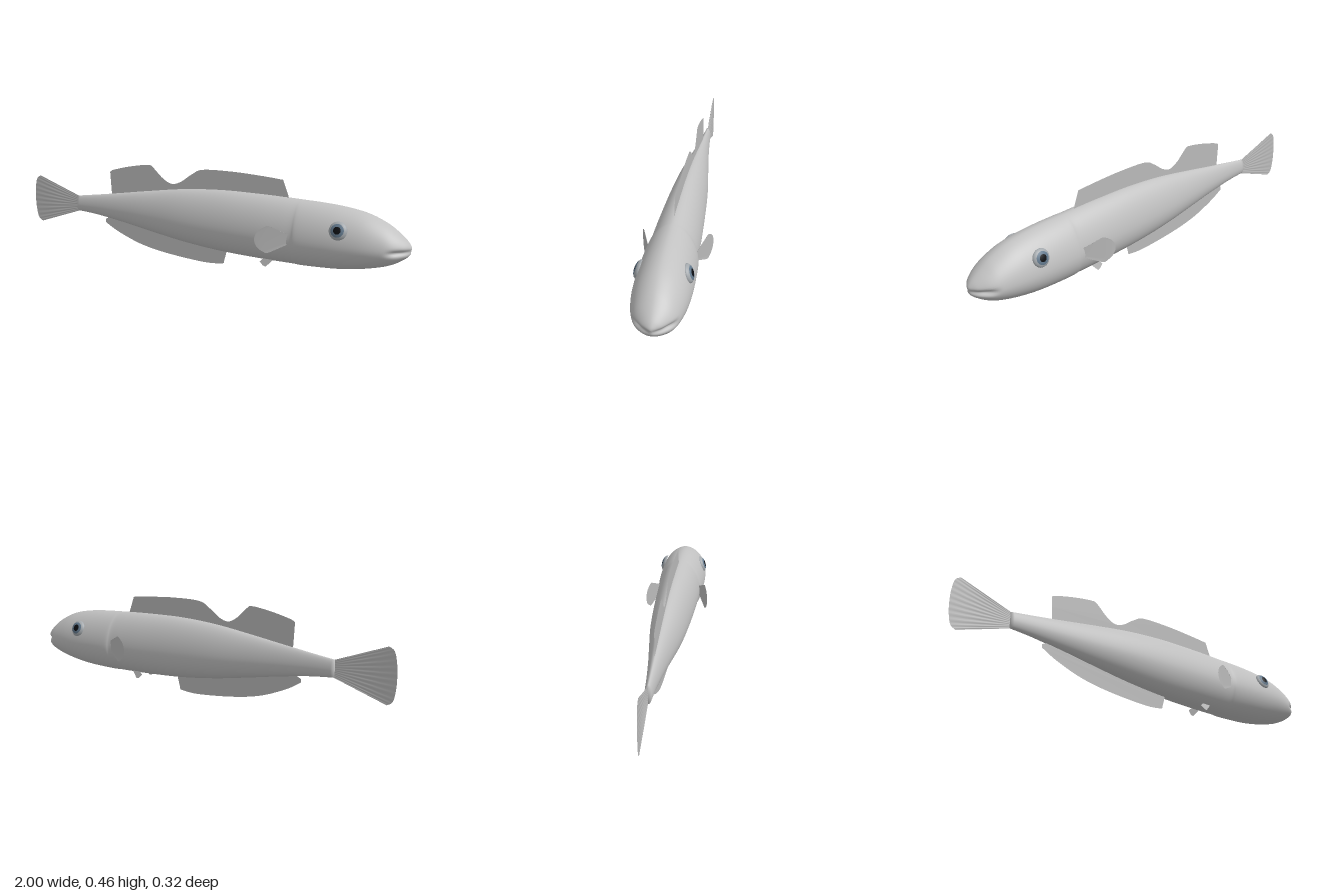
import * as THREE from 'three';

const mat = (name, color, side = THREE.FrontSide) => {
  const m = new THREE.MeshStandardMaterial({ color, side });
  m.name = name;
  return m;
};

// Body stations along the length: x, top, bottom, half width
const STATIONS = [
  [-0.72, 0.255, 0.177, 0.016], [-0.6, 0.273, 0.168, 0.024], [-0.45, 0.297, 0.148, 0.038],
  [-0.3, 0.322, 0.124, 0.055], [-0.1, 0.352, 0.094, 0.078], [0.1, 0.368, 0.075, 0.092],
  [0.3, 0.37, 0.068, 0.102], [0.42, 0.368, 0.067, 0.106], [0.48, 0.366, 0.067, 0.108],
  [0.51, 0.365, 0.066, 0.115], [0.6, 0.362, 0.069, 0.119], [0.7, 0.354, 0.076, 0.12],
  [0.8, 0.336, 0.092, 0.115], [0.88, 0.304, 0.112, 0.101], [0.93, 0.272, 0.132, 0.083],
  [0.97, 0.24, 0.157, 0.051], [0.99, 0.218, 0.176, 0.024], [1, 0.2, 0.19, 0.006],
];

function bodyGeometry() {
  const [top, bottom, width] = [1, 2, 3].map(
    (k) => new THREE.SplineCurve(STATIONS.map((s) => new THREE.Vector2(s[0], s[k]))));
  const rings = 102, sides = 64, pos = [], index = [];
  for (let i = -1; i <= rings + 1; i++) {
    const t = THREE.MathUtils.clamp(i / rings, 0, 1);
    const size = i < 0 || i > rings ? 0 : 1; // collapsed rings close both ends
    const p = top.getPoint(t), lo = bottom.getPoint(t).y, w = width.getPoint(t).y * size;
    const mid = lo + 0.43 * (p.y - lo);
    for (let j = 0; j < sides; j++) {
      const a = (j / sides) * Math.PI * 2, c = Math.cos(a), s = Math.sin(a);
      // egg section: narrower towards the back
      const e = s > 0 ? 1.1 : 1;
      const y = mid + Math.sign(s) * Math.abs(s) ** e * (s > 0 ? p.y - mid : mid - lo) * size;
      let z = Math.sign(c) * Math.abs(c) ** e * w;
      // mouth crease
      const crease = Math.exp(-(((y - 0.193) / 0.011) ** 2)) * THREE.MathUtils.smoothstep(p.x, 0.89, 0.96);
      z *= 1 - 0.2 * crease;
      pos.push(p.x - 0.008 * crease, y, z);
    }
  }
  for (let i = 0; i < rings + 2; i++) {
    for (let j = 0; j < sides; j++) {
      const k = (j + 1) % sides, a = i * sides, b = a + sides;
      index.push(a + j, b + j, b + k, a + j, b + k, a + k);
    }
  }
  const g = new THREE.BufferGeometry();
  g.setAttribute('position', new THREE.Float32BufferAttribute(pos, 3));
  g.setIndex(index);
  g.computeVertexNormals();
  return g;
}

// Flat fin from straight root points and a list of outline runs, each smoothed
function finGeometry(start, ...runs) {
  const shape = new THREE.Shape().moveTo(...start);
  for (const run of runs) shape.splineThru(run.map((p) => new THREE.Vector2(...p)));
  return new THREE.ShapeGeometry(shape, 6);
}

// Fan of softly ridged rays
function tailGeometry() {
  const edge = new THREE.SplineCurve([
    [-0.96, 0.338], [-0.985, 0.32], [-0.997, 0.27], [-1, 0.215], [-0.997, 0.16], [-0.985, 0.11], [-0.96, 0.092],
  ].map((p) => new THREE.Vector2(...p)));
  const cols = 48, rows = 4, g = new THREE.PlaneGeometry(1, 1, cols, rows), pos = g.attributes.position;
  for (let r = 0; r <= rows; r++) {
    for (let c = 0; c <= cols; c++) {
      const u = c / cols, v = r / rows, e = edge.getPoint(u);
      const ridge = 0.0012 * Math.sin(u * Math.PI * 24) * Math.sin(v * Math.PI);
      pos.setXYZ(r * (cols + 1) + c, THREE.MathUtils.lerp(-0.705, e.x, v),
        THREE.MathUtils.lerp(0.25 - 0.07 * u, e.y, v), ridge);
    }
  }
  g.computeVertexNormals();
  return g;
}

export function createModel() {
  const fish = new THREE.Group();
  fish.name = 'fish';
  const skin = mat('skin', 0xc2c2c2);
  const finMat = mat('fin', 0xbababa, THREE.DoubleSide);
  const rim = mat('eyeRim', 0xa4a9ad);
  const iris = mat('iris', 0x62788c);
  const pupil = mat('pupil', 0x0c0e12);
  const add = (parent, name, geometry, material) => {
    const m = new THREE.Mesh(geometry, material);
    m.name = name;
    parent.add(m);
    return m;
  };

  add(fish, 'body', bodyGeometry(), skin);
  add(fish, 'tailFin', tailGeometry(), finMat);

  // Fins on the centre line
  add(fish, 'dorsalFin', finGeometry([0.42, 0.28], [[0.438, 0.36]], [[0.405, 0.446]],
    [[0.3, 0.454], [0.15, 0.46], [0, 0.455], [-0.06, 0.427], [-0.12, 0.385], [-0.17, 0.371],
      [-0.22, 0.395], [-0.27, 0.44], [-0.3, 0.452], [-0.4, 0.436], [-0.5, 0.41], [-0.522, 0.397]],
    [[-0.514, 0.27]], [[-0.5, 0.25]]), finMat);
  add(fish, 'analFin', finGeometry([-0.5, 0.18], [[-0.557, 0.15]], [[-0.557, 0.133]],
    [[-0.48, 0.092], [-0.35, 0.045], [-0.2, 0.018], [0, 0.002], [0.1, 0.008], [0.113, 0.018]],
    [[0.13, 0.08]], [[0.12, 0.14]]), finMat);

  // Paired fins and eyes
  for (const side of [1, -1]) {
    const half = new THREE.Group();
    half.name = side > 0 ? 'leftSide' : 'rightSide';
    half.scale.z = side;
    fish.add(half);

    // Pectoral fin flares backwards, away from the body
    const pectoral = finGeometry([0.485, 0.186], [[0.485, 0.224]], [[0.4, 0.262]],
      [[0.385, 0.262], [0.35, 0.237], [0.336, 0.2], [0.35, 0.163], [0.385, 0.139]], [[0.4, 0.142]]);
    const p = pectoral.attributes.position;
    for (let i = 0; i < p.count; i++) {
      const back = 0.485 - p.getX(i);
      p.setZ(i, 0.1 + 0.5 * back - 0.75 * back * back);
    }
    pectoral.computeVertexNormals();
    add(half, 'pectoralFin', pectoral, finMat);

    // Small pelvic fin, leaning outwards
    const pelvic = finGeometry([0.385, 0.085], [[0.372, 0.068]], [[0.35, 0.044]],
      [[0.335, 0.048], [0.318, 0.064]], [[0.34, 0.085]]);
    const q = pelvic.attributes.position;
    for (let i = 0; i < q.count; i++) q.setZ(i, 0.042 + 0.25 * (0.08 - q.getY(i)));
    pelvic.computeVertexNormals();
    add(half, 'pelvicFin', pelvic, finMat);

    // Eye: one flattened dome split into pupil, iris and rim
    const eye = new THREE.Group();
    eye.name = 'eye';
    eye.position.set(0.7, 0.27, 0.1);
    eye.rotation.x = -0.33;
    half.add(eye);
    const bands = [['pupil', 0, 0.42, pupil], ['iris', 0.42, 0.8, iris], ['eyeRim', 0.8, Math.PI / 2, rim]];
    for (const [name, from, to, material] of bands) {
      const g = new THREE.SphereGeometry(1, 32, 8, 0, Math.PI * 2, from, to - from);
      g.rotateX(Math.PI / 2).scale(0.041, 0.041, 0.02);
      add(eye, name, g, material);
    }
  }
  return fish;
}
